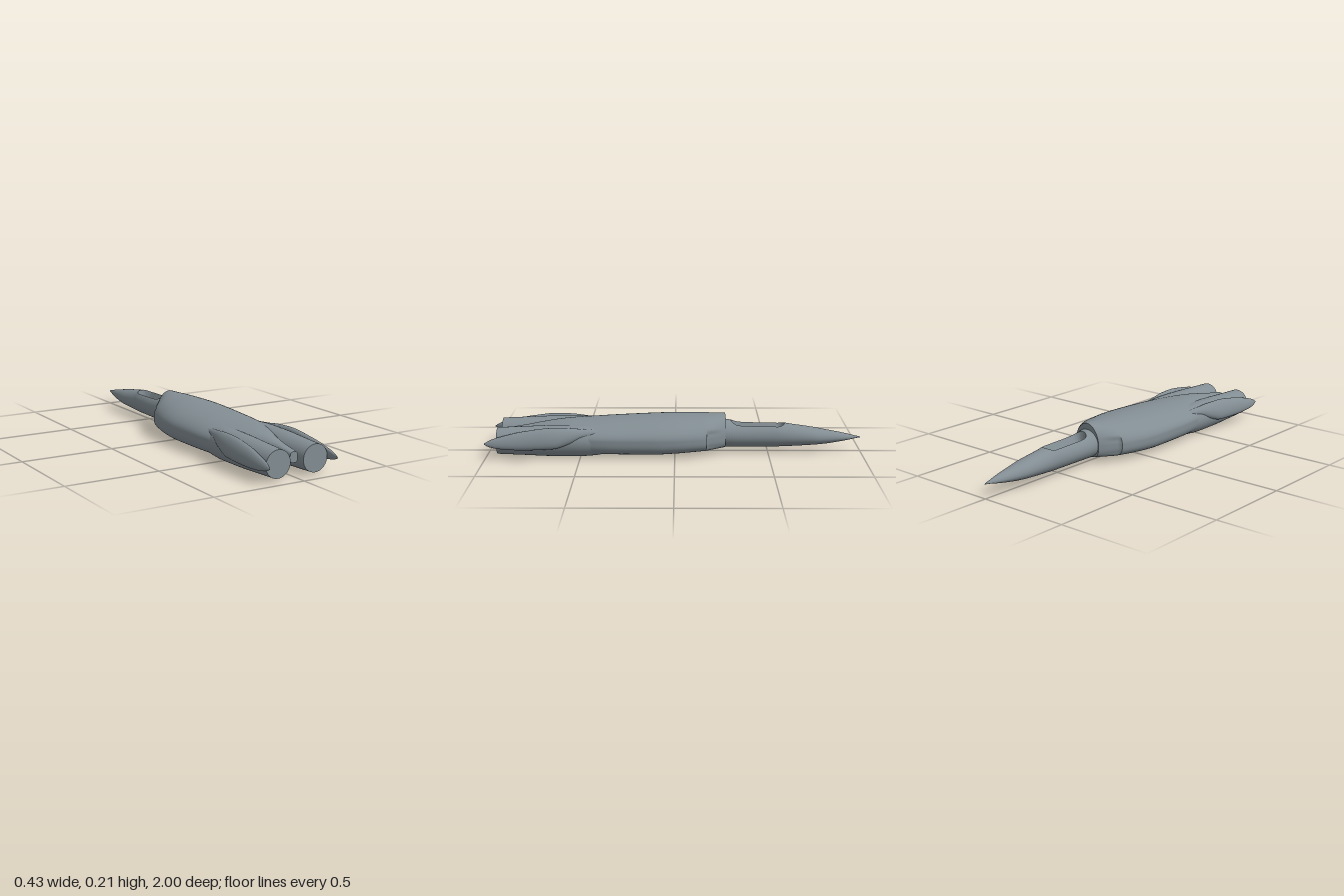
import * as THREE from 'three';

const hull = new THREE.MeshStandardMaterial({ color: 0x828d93 });
hull.name = 'hullGrey';
const dark = new THREE.MeshStandardMaterial({ color: 0x30343f });
dark.name = 'cockpitDark';

// Smooth monotone interpolation through stations [z, ...values]
function sample(st, z) {
  const last = st.length - 1;
  let i = 0;
  while (i < last - 1 && z > st[i + 1][0]) i++;
  const slope = (k, c) => (st[k + 1][c] - st[k][c]) / (st[k + 1][0] - st[k][0]);
  const tangent = (k, c) => {
    if (k === 0) return slope(0, c);
    if (k === last) return slope(last - 1, c);
    const a = slope(k - 1, c), b = slope(k, c);
    return a * b <= 0 ? 0 : (2 * a * b) / (a + b);
  };
  const h = st[i + 1][0] - st[i][0];
  const t = THREE.MathUtils.clamp((z - st[i][0]) / h, 0, 1);
  return st[i].map((v, c) => {
    if (c === 0) return z;
    const t2 = t * t, t3 = t2 * t;
    return (2 * t3 - 3 * t2 + 1) * v + (t3 - 2 * t2 + t) * h * tangent(i, c)
      + (3 * t2 - 2 * t3) * st[i + 1][c] + (t3 - t2) * h * tangent(i + 1, c);
  });
}

// Sorted z values: even steps plus exact extra cuts
function zRange(a, b, n, extra = []) {
  const zs = Array.from({ length: n + 1 }, (_, i) => a + (b - a) * i / n);
  return [...new Set([...zs, ...extra])].sort((p, q) => p - q);
}

// Surface through rows of points, leaving out the cells of any hole
function grid(rows, holes = []) {
  const n = rows[0].length, index = [];
  const cols = rows.closed ? n : n - 1;
  for (let i = 0; i < rows.length - 1; i++) {
    for (let j = 0; j < cols; j++) {
      if (holes.some(h => i >= h.i0 && i < h.i1 && j >= h.j0 && j < h.j1)) continue;
      const k = (j + 1) % n;
      const a = i * n + j, b = i * n + k, c = a + n, d = b + n;
      index.push(a, b, d, a, d, c);
    }
  }
  const g = new THREE.BufferGeometry();
  g.setAttribute('position', new THREE.Float32BufferAttribute(rows.flat(2), 3));
  g.setIndex(index);
  g.computeVertexNormals();
  return g;
}

// Point on a section: half width, top, bottom, height of the widest line
function ringPoint(z, w, top, bot, mid, angle, pUp = 1, pLow = 1) {
  const c = Math.cos(angle), s = Math.sin(angle), p = s >= 0 ? pUp : pLow;
  const y = Math.pow(Math.abs(s), p);
  return [w * Math.sign(c) * Math.pow(Math.abs(c), p), mid + (s >= 0 ? (top - mid) * y : (bot - mid) * y), z];
}

function add(group, name, geometry, material = hull) {
  const mesh = new THREE.Mesh(geometry, material);
  mesh.name = name;
  group.add(mesh);
}

// Flat end of a ring of points
function endCap(ring, toFront) {
  const shape = new THREE.Shape(ring.map(p => new THREE.Vector2(p[0], p[1])));
  const g = new THREE.ShapeGeometry(shape);
  if (!toFront) {
    const ix = g.index.array;
    for (let i = 0; i < ix.length; i += 3) [ix[i], ix[i + 1]] = [ix[i + 1], ix[i]];
    g.computeVertexNormals();
  }
  return g.translate(0, 0, ring[0][2]);
}

// Wheel bay: walls rising from the edge of a hole in the hull to a flat ceiling
function bay(group, name, rows, { i0, i1, j0, j1 }, height) {
  const lift = p => [p[0], height, p[2]];
  const edge = [];
  for (let i = i0; i < i1; i++) edge.push(rows[i][j0]);
  for (let j = j0; j < j1; j++) edge.push(rows[i1][j]);
  for (let i = i1; i > i0; i--) edge.push(rows[i][j1]);
  for (let j = j1; j > j0; j--) edge.push(rows[i0][j]);
  const wallRows = [edge.map(lift), edge];
  wallRows.closed = true;
  const walls = grid(wallRows).toNonIndexed();
  walls.computeVertexNormals();
  add(group, name + 'Walls', walls);
  add(group, name + 'Ceiling', grid(rows.slice(i0, i1 + 1).map(row => row.slice(j0, j1 + 1).map(lift))));
}

function buildNose(group) {
  // z, half width, top, bottom
  const st = [[-1, 0.001, 0.08, 0.078], [-0.9, 0.028, 0.103, 0.057], [-0.8, 0.048, 0.122, 0.042],
    [-0.74, 0.058, 0.133, 0.037], [-0.6, 0.063, 0.154, 0.029], [-0.54, 0.066, 0.165, 0.027],
    [-0.4, 0.07, 0.165, 0.027], [-0.33, 0.073, 0.168, 0.027], [-0.24, 0.079, 0.182, 0.027]];
  const z0 = -0.59, z1 = -0.30, r = 0.045, n = 64;
  const opening = z => {
    const d = Math.min(z - z0, z1 - z);
    return d <= 1e-6 ? 0 : d < r ? Math.sqrt(r * r - (r - d) ** 2) : r;
  };
  const ends = [0, 0.001, 0.004, 0.009, 0.016, 0.025, 0.035, 0.045].flatMap(d => [z0 + d, z1 - d]);
  const zs = zRange(-1, -0.24, 60, [...ends, -0.583, -0.363]);
  const rim = z => {
    const [, w, top, bot] = sample(st, z);
    return { w, top, bot, mid: (top + bot) / 2 - 0.004, a: Math.asin(opening(z) / w) };
  };
  const rows = zs.map(z => {
    const { w, top, bot, mid, a } = rim(z);
    return Array.from({ length: n + 1 }, (_, j) =>
      ringPoint(z, w, top, bot, mid, Math.PI / 2 + a + (2 * Math.PI - 2 * a) * j / n));
  });
  const hole = { i0: zs.indexOf(-0.583), i1: zs.indexOf(-0.363), j0: n / 2 - 4, j1: n / 2 + 4 };
  add(group, 'nose', grid(rows, [hole]));
  bay(group, 'noseWheelBay', rows, hole, 0.08);

  // Cockpit walls and floor
  const inside = zs.filter(z => z >= z0 - 1e-6 && z <= z1 + 1e-6);
  const edge = (z, s) => {
    const { w, top, bot, mid, a } = rim(z);
    return ringPoint(z, w, top, bot, mid, Math.PI / 2 - s * a);
  };
  const inner = (z, s) => [s * opening(z) * 0.54, 0.1, THREE.MathUtils.clamp(z, z0 + 0.006, z1 - 0.006)];
  add(group, 'cockpitWallLeft', grid(inside.map(z => [edge(z, 1), inner(z, 1)])));
  add(group, 'cockpitWallRight', grid(inside.map(z => [inner(z, -1), edge(z, -1)])));
  add(group, 'cockpitFloor', grid(inside.map(z => [inner(z, 1), inner(z, -1)])), dark);
}

function buildBody(group) {
  // z, half width, top, bottom, widest height
  const st = [[-0.27, 0.08, 0.21, 0.03, 0.1], [-0.19, 0.144, 0.209, 0.024, 0.1],
    [-0.168, 0.156, 0.209, 0.022, 0.1], [-0.1, 0.176, 0.208, 0.018, 0.1], [0, 0.195, 0.207, 0.012, 0.1],
    [0.1, 0.202, 0.203, 0.008, 0.1], [0.3, 0.198, 0.193, 0.008, 0.1], [0.45, 0.186, 0.184, 0.01, 0.1],
    [0.55, 0.152, 0.18, 0.012, 0.1], [0.62, 0.112, 0.175, 0.016, 0.1], [0.7, 0.07, 0.163, 0.03, 0.099],
    [0.8, 0.037, 0.144, 0.052, 0.098], [0.915, 0.022, 0.125, 0.07, 0.098]];
  const n = 96, zs = zRange(-0.27, 0.915, 70, [-0.19, -0.172, -0.169, 0.08, 0.33]);
  const rows = zs.map(z => {
    const [, w, top, bot, mid] = sample(st, z);
    const tail = THREE.MathUtils.smoothstep(z, 0.6, 0.9);
    // Side recess that ends in a lip
    const recess = z < -0.17 ? 0.012 * THREE.MathUtils.smoothstep(z, -0.27, -0.19) : 0;
    return Array.from({ length: n }, (_, j) => {
      const p = ringPoint(z, w, top, bot, mid, 2 * Math.PI * j / n, 1.05 - 0.4 * tail, 0.6);
      const away = Math.abs(p[1] - 0.09);
      p[0] -= Math.sign(p[0]) * recess * (1 - THREE.MathUtils.smoothstep(away, 0.03, 0.06));
      return p;
    });
  });
  rows.closed = true;
  const span = { i0: zs.indexOf(0.08), i1: zs.indexOf(0.33) };
  const left = { ...span, j0: 75, j1: 79 }, right = { ...span, j0: 65, j1: 69 };
  add(group, 'body', grid(rows, [left, right]));
  add(group, 'bodyFrontFace', endCap(rows[0], false));
  add(group, 'tailConeEnd', endCap(rows[rows.length - 1], true));
  bay(group, 'mainWheelBayLeft', rows, left, 0.07);
  bay(group, 'mainWheelBayRight', rows, right, 0.07);
}

// Engine tube with a flat nozzle end
function buildEngine(group, s) {
  const side = s > 0 ? 'Left' : 'Right';
  const st = [[0.34, 0.06], [0.42, 0.077], [0.52, 0.083], [0.65, 0.082], [0.8, 0.076], [0.94, 0.0705]];
  const rows = zRange(0.34, 0.94, 30).map(z => {
    const r = sample(st, z)[1];
    return Array.from({ length: 48 }, (_, j) => {
      const p = ringPoint(z, r, 0.0845 + r, 0.0845 - r, 0.0845, 2 * Math.PI * j / 48);
      return [p[0] + s * 0.108, p[1], z];
    });
  });
  rows.closed = true;
  add(group, 'engine' + side, grid(rows));
  add(group, 'nozzle' + side, endCap(rows[rows.length - 1], true));
}

// Pointed boom outside each engine, its top leaning inward
function buildBoom(group, s) {
  // z, half width, top, bottom, centre x
  const st = [[0.38, 0.008, 0.15, 0.125, 0.15], [0.48, 0.018, 0.158, 0.112, 0.161], [0.56, 0.026, 0.166, 0.082, 0.174],
    [0.64, 0.029, 0.168, 0.06, 0.183], [0.8, 0.025, 0.15, 0.055, 0.189], [0.92, 0.016, 0.123, 0.062, 0.195],
    [0.97, 0.009, 0.107, 0.071, 0.196], [1, 0.001, 0.089, 0.084, 0.196]];
  const rows = zRange(0.38, 1, 40).map(z => {
    const [, w, top, bot, cx] = sample(st, z);
    const mid = (top + bot) / 2;
    return Array.from({ length: 32 }, (_, j) => {
      const p = ringPoint(z, w, top, bot, mid, 2 * Math.PI * j / 32);
      return [p[0] + s * (cx + 0.22 * (mid - p[1])), p[1], z];
    });
  });
  rows.closed = true;
  add(group, s > 0 ? 'tailBoomLeft' : 'tailBoomRight', grid(rows));
}

export function createModel() {
  const group = new THREE.Group();
  group.name = 'jetFuselage';
  buildNose(group);
  buildBody(group);
  for (const s of [1, -1]) {
    buildEngine(group, s);
    buildBoom(group, s);
  }
  return group;
}
